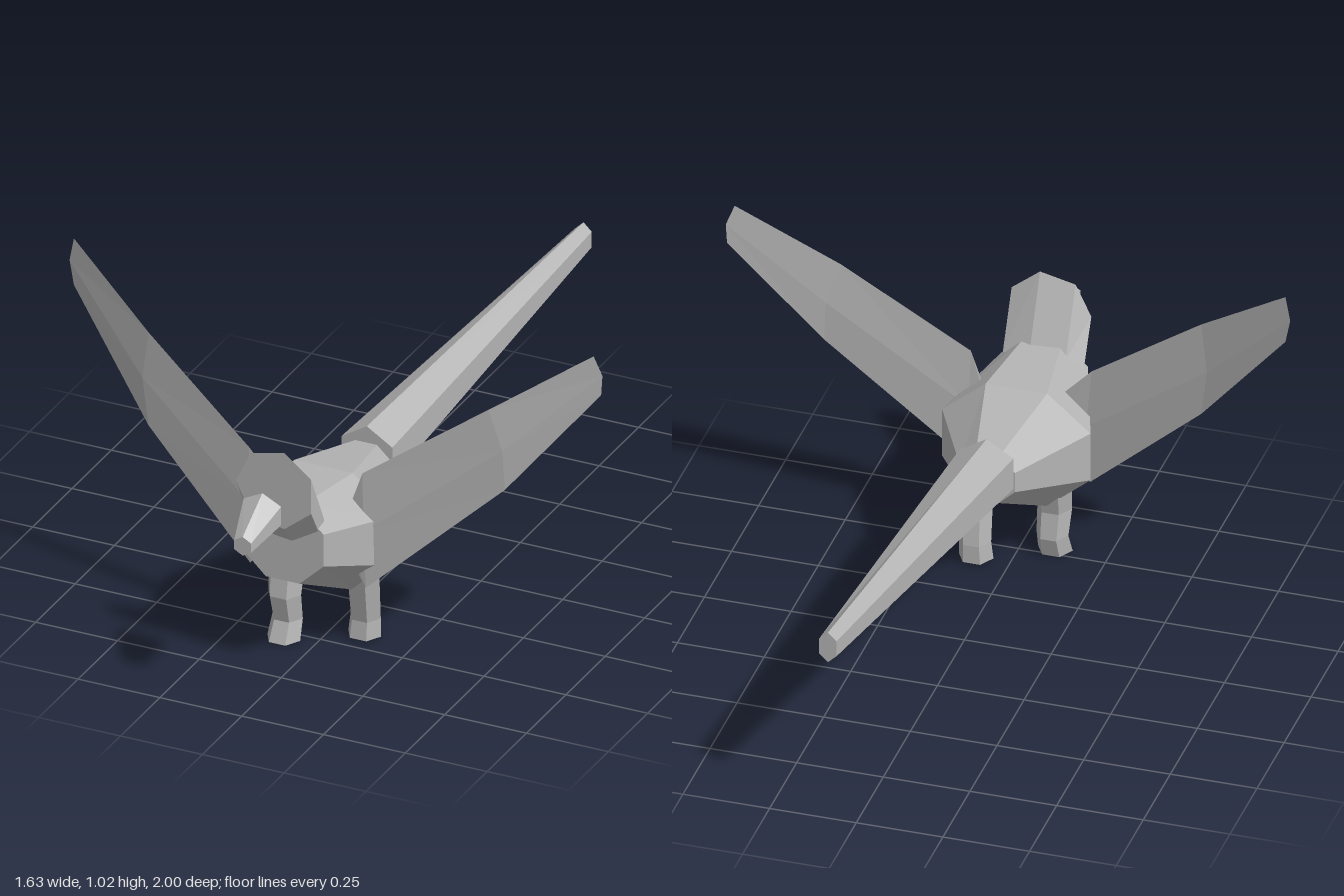
import * as THREE from 'three';

const plumage = new THREE.MeshStandardMaterial({ color: 0xb4b4b4, flatShading: true });
plumage.name = 'grey plumage';

// Closed, flat-shaded skin over rings of [x, y, z] points, capped at both ends
function loft(name, rings) {
  const n = rings[0].length;
  const tris = [];
  for (let r = 0; r < rings.length - 1; r++) {
    for (let i = 0; i < n; i++) {
      const j = (i + 1) % n;
      const [a, b, c, d] = [rings[r][i], rings[r][j], rings[r + 1][j], rings[r + 1][i]];
      tris.push([a, b, c], [a, c, d]);
    }
  }
  const last = rings[rings.length - 1];
  for (let i = 1; i < n - 1; i++) {
    tris.push([rings[0][0], rings[0][i + 1], rings[0][i]], [last[0], last[i], last[i + 1]]);
  }
  // Turn the faces outward whichever way the rings run
  const v = (p) => new THREE.Vector3(...p);
  let volume = 0;
  const o = v(rings[0][0]);
  for (const [a, b, c] of tris) volume += v(a).sub(o).dot(v(b).sub(o).cross(v(c).sub(o)));
  if (volume < 0) tris.forEach((t) => t.reverse());

  const geometry = new THREE.BufferGeometry();
  geometry.setAttribute('position', new THREE.Float32BufferAttribute(tris.flat(2), 3));
  geometry.computeVertexNormals();
  const mesh = new THREE.Mesh(geometry, plumage);
  mesh.name = name;
  return mesh;
}

// Regular polygon facing z; turn is a fraction of one side
function ringZ(sides, x, y, z, rx, ry, turn = 0) {
  return Array.from({ length: sides }, (_, i) => {
    const a = ((i + turn) / sides) * Math.PI * 2;
    return [x + Math.sin(a) * rx, y + Math.cos(a) * ry, z];
  });
}

// Regular hexagon facing y
function ringY(x, y, z, r) {
  return Array.from({ length: 6 }, (_, i) => {
    const a = (i / 6) * Math.PI * 2;
    return [x + Math.cos(a) * r, y, z + Math.sin(a) * r];
  });
}

// Wings sweep backward towards the tips
function sweep(x) {
  const d = Math.abs(x);
  if (d < 0.17) return 0.555;
  return d < 0.53 ? 0.555 - (d - 0.17) * 0.18 : 0.49 - (d - 0.53) * 0.32;
}

// Thin wing from pairs of [topX, topY, bottomX, bottomY, middleX]
function wing(name, stations, thickness) {
  return loft(name, stations.map(([tx, ty, bx, by, mx], i) => {
    const my = (ty + by) / 2;
    const t = thickness[i];
    return [
      [tx, ty, sweep(tx)], [mx, my, sweep(mx) + t],
      [bx, by, sweep(bx)], [mx, my, sweep(mx) - t],
    ];
  }));
}

export function createModel() {
  const bird = new THREE.Group();
  bird.name = 'bird';

  // Octagonal body; k scales a flat-sided octagon to its half width
  const k = 1 / Math.cos(Math.PI / 8);
  const body = [[0.42, 0.74, 0.125, 0.12], [0.348, 0.48, 0.214, 0.182], [0.4, 0.21, 0.08, 0.075]];
  bird.add(loft('body', body.map(([y, z, rx, ry]) => ringZ(8, 0, y, z, rx * k, ry * k, 0.5))));

  // Seven-sided head with an upright face, slanting back into the body
  const face = ringZ(7, 0, 0.605, 0.785, 0.121, 0.122, 0.25);
  const neck = face.map(([x, y]) => {
    const t = (y - 0.485) / 0.24;
    return [x, 0.43 + 0.09 * t, 0.742 - 0.055 * t];
  });
  bird.add(loft('head', [face, neck]));

  // Hexagonal beak and long tail
  bird.add(loft('beak', [
    ringZ(6, 0.003, 0.578, 0.875, 0.066, 0.058),
    ringZ(6, 0.003, 0.53, 1, 0.03, 0.029),
  ]));
  bird.add(loft('tail', [
    ringZ(6, 0.002, 0.428, 0.21, 0.09, 0.098),
    ringZ(6, 0.082, 0.553, -1, 0.029, 0.048),
  ]));

  // Legs, each a bent hexagonal column of [x, y, z, radius]
  const legs = {
    leftLeg: [[0.108, 0.228, 0.455, 0.05], [0.1, 0.06, 0.42, 0.046], [0.098, 0.005, 0.422, 0.05]],
    rightLeg: [[-0.097, 0.228, 0.51, 0.054], [-0.096, 0.14, 0.527, 0.05],
      [-0.094, 0.06, 0.512, 0.046], [-0.096, 0, 0.533, 0.05]],
  };
  for (const [name, path] of Object.entries(legs)) {
    bird.add(loft(name, path.map((p) => ringY(...p))));
  }

  // Wings, from inside the body out to the tips
  const thickness = [0.004, 0.006, 0.005, 0.001];
  bird.add(wing('leftWing', [
    [0.12, 0.48, 0.12, 0.3, 0.1], [0.155, 0.58, 0.165, 0.225, 0.16],
    [0.51, 0.83, 0.555, 0.585, 0.55], [0.79, 1.02, 0.81, 0.9, 0.813],
  ], thickness));
  bird.add(wing('rightWing', [
    [-0.11, 0.49, -0.12, 0.3, -0.1], [-0.195, 0.58, -0.19, 0.22, -0.18],
    [-0.53, 0.83, -0.53, 0.54, -0.55], [-0.8, 1.02, -0.8, 0.875, -0.815],
  ], thickness));

  return bird;
}
